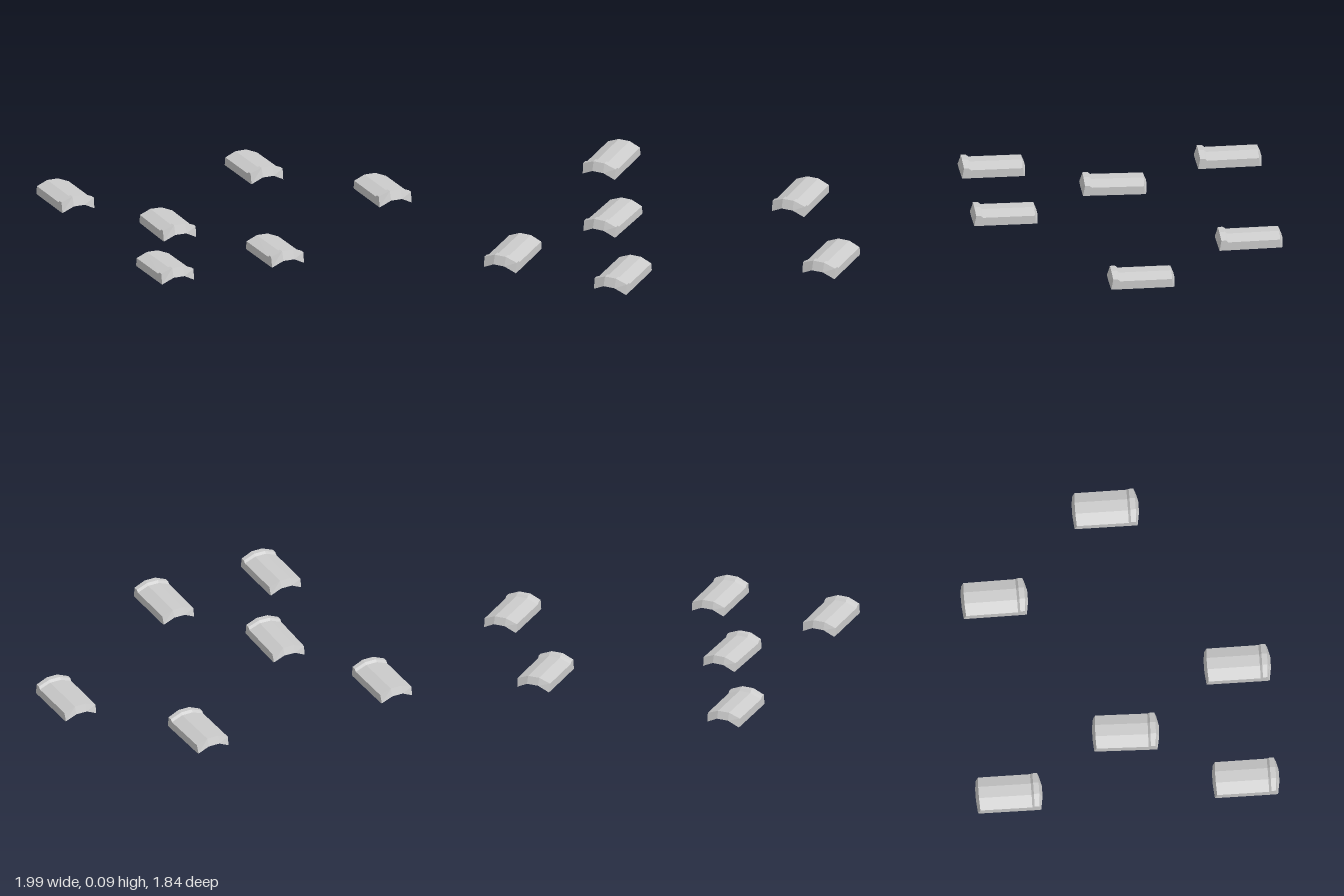
import * as THREE from 'three';

const RIM = 0.005; // height of the lower side edge

// Cross-sections from front to back: [z centre, z corner, y centre, y corner, half width]
const SECTIONS = [
  [0.203, 0.19, 0.042, RIM, 0.106],    // front lower rim
  [0.183, 0.178, 0.098, 0.07, 0.107],  // front of raised lip
  [0.15, 0.15, 0.098, 0.07, 0.107],    // back of raised lip
  [0.136, 0.136, 0.085, 0.057, 0.107], // start of the main body
  [-0.182, -0.178, 0.085, 0.057, 0.106], // back upper edge
  [-0.2, -0.192, 0.04, RIM, 0.103],    // back lower rim
];

// Hollow tile: a faceted arch with side skirts and slanted ends, open below
function tileGeometry() {
  const rows = SECTIONS.map(([zc, ze, yc, ye, w]) => [
    [-w, RIM, ze], [-w, ye, ze], [-0.036, yc, zc],
    [0.036, yc, zc], [w, ye, ze], [w, RIM, ze],
  ].map((p) => new THREE.Vector3(...p)));

  const positions = [];
  const triangle = (a, b, c) => {
    if (new THREE.Triangle(a, b, c).getArea() < 1e-8) return;
    for (const p of [a, b, c]) positions.push(p.x, p.y, p.z);
  };
  for (let i = 0; i < rows.length - 1; i++) {
    for (let j = 0; j < 5; j++) {
      const a = rows[i][j], b = rows[i][j + 1];
      const c = rows[i + 1][j + 1], d = rows[i + 1][j];
      triangle(a, b, c);
      triangle(a, c, d);
    }
  }
  const geometry = new THREE.BufferGeometry();
  geometry.setAttribute('position', new THREE.Float32BufferAttribute(positions, 3));
  geometry.computeVertexNormals();
  return geometry;
}

export function createModel() {
  const group = new THREE.Group();
  group.name = 'roofTiles';
  const geometry = tileGeometry();
  const material = new THREE.MeshStandardMaterial({
    color: 0xcccccc, flatShading: true, side: THREE.DoubleSide,
  });

  // Scattered tiles: [x, z, yaw, pitch]
  const placements = [
    [-0.89, -0.72, 0, 0.01],
    [0.363, -0.72, 0.012, 0.01],
    [-0.547, 0.01, -0.03, 0],
    [0.89, -0.012, 0, 0.005],
    [-0.89, 0.712, 0, 0],
    [-0.16, 0.712, 0, 0],
  ];
  placements.forEach(([x, z, yaw, pitch], i) => {
    const tile = new THREE.Mesh(geometry, material);
    tile.name = `roofTile${i + 1}`;
    tile.position.set(x, Math.sin(pitch) * 0.19, z);
    tile.rotation.set(pitch, yaw, 0);
    group.add(tile);
  });
  return group;
}
